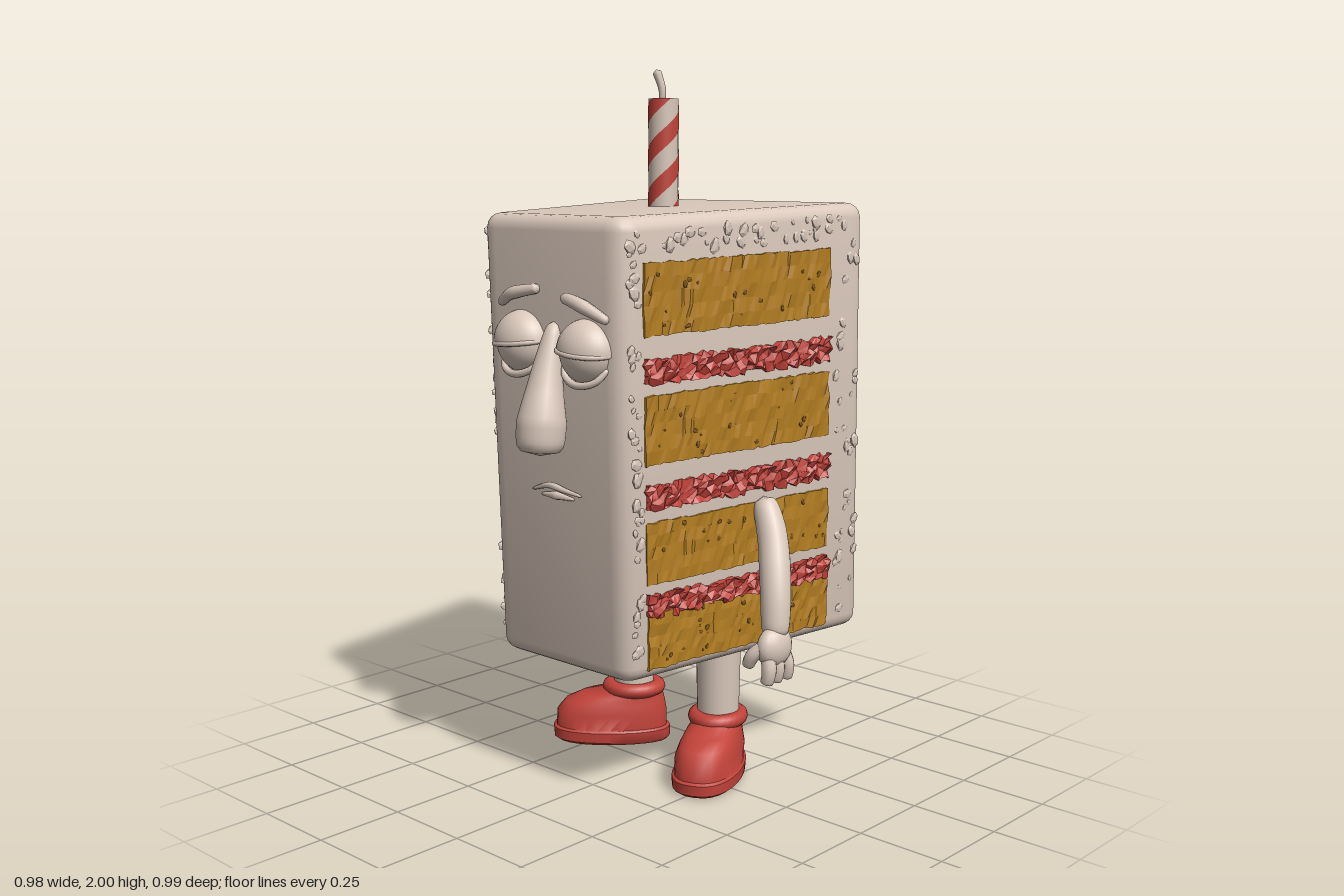
import * as THREE from 'three';
import { mergeVertices, mergeGeometries, toCreasedNormals } from 'three/addons/utils/BufferGeometryUtils.js';

const paint = (name, color) => Object.assign(new THREE.MeshStandardMaterial({ color }), { name });
const V = (x, y, z) => new THREE.Vector3(x, y, z);

// Repeatable noise from a position, -1..1
function noise(x, y, z, k = 0) {
  const s = Math.sin(Math.round(x * 500) * 12.99 + Math.round(y * 500) * 78.23 + Math.round(z * 500) * 37.72 + k * 9.1) * 43758.55;
  return (s - Math.floor(s)) * 2 - 1;
}

function reshape(geo, rule) {
  const p = geo.attributes.position, v = V(0, 0, 0);
  for (let i = 0; i < p.count; i++) {
    rule(v.fromBufferAttribute(p, i), i);
    p.setXYZ(i, v.x, v.y, v.z);
  }
  return geo;
}

function smooth(geo) {
  geo.deleteAttribute('uv');
  geo.deleteAttribute('normal');
  const g = mergeVertices(geo, 1e-5);
  g.computeVertexNormals();
  return g;
}

function facet(geo) {
  const g = geo.index ? geo.toNonIndexed() : geo;
  g.computeVertexNormals();
  return g;
}

// Round-ended tube whose thickness follows a list of radii
function limb(points, radii, sides = 14, n = 28) {
  const curve = new THREE.CatmullRomCurve3(points.map(p => V(...p)));
  const geo = new THREE.TubeGeometry(curve, n, 1, sides);
  return smooth(reshape(geo, (v, i) => {
    const t = Math.floor(i / (sides + 1)) / n;
    const f = t * (radii.length - 1), a = Math.min(Math.floor(f), radii.length - 2);
    const r = THREE.MathUtils.lerp(radii[a], radii[a + 1], f - a);
    const c = curve.getPointAt(t);
    v.sub(c).multiplyScalar(r * Math.sqrt(Math.max(0, 1 - Math.abs(2 * t - 1) ** 14))).add(c);
  }));
}

// Body frame: slice sides slope outwards to the back and narrow downwards
const FRONT = 0.42, HALF = 0.62;
const sideX = (s, z) => {
  const t = (FRONT - z) / (2 * FRONT);
  return s > 0 ? 0.245 + 0.16 * t : -0.285 - 0.165 * t;
};
const taper = v => { v.x *= 1 - 0.04 * (HALF - v.y); };

function sliceGeometry() {
  const c = [[sideX(-1, FRONT), -FRONT], [sideX(1, FRONT), -FRONT], [sideX(1, -FRONT), FRONT], [sideX(-1, -FRONT), FRONT]]
    .map(p => new THREE.Vector2(...p));
  const shape = new THREE.Shape();
  c.forEach((p, i) => {
    const toward = q => p.clone().add(q.clone().sub(p).setLength(0.055));
    const a = toward(c[(i + 3) % 4]), b = toward(c[(i + 1) % 4]);
    if (i) shape.lineTo(a.x, a.y); else shape.moveTo(a.x, a.y);
    shape.quadraticCurveTo(p.x, p.y, b.x, b.y);
  });
  shape.closePath();
  const bevel = 0.04;
  const geo = new THREE.ExtrudeGeometry(shape, {
    depth: 2 * (HALF - bevel), bevelEnabled: true, bevelSize: bevel, bevelOffset: -bevel,
    bevelThickness: bevel, bevelSegments: 4, curveSegments: 5, steps: 1
  });
  geo.rotateX(-Math.PI / 2).translate(0, -(HALF - bevel), 0);
  reshape(geo, taper);
  return toCreasedNormals(geo, 0.7);
}

// One rough-edged layer on side s, y0..y1, standing out from the slice
function layerGeometry(s, y0, y1, out, rough) {
  const geo = new THREE.BoxGeometry(0.05, y1 - y0, 0.63, 1, 5, 44);
  reshape(geo, v => {
    const { x, y, z } = v, outer = x * s > 0 ? 1 : 0;
    v.x += s * (out - 0.025 + outer * rough * noise(x, y, z, s));
    v.y += rough * 0.8 * noise(x, y, z, 3) + (y0 + y1) / 2;
    v.z += rough * 0.5 * noise(x, y, z, 7) + 0.035;
    v.x += sideX(s, v.z);
    taper(v);
  });
  return facet(geo);
}

// Small lumps or pits pressed onto side s
function specks(s, count, place, size, out) {
  const list = [];
  for (let i = 0; i < count; i++) {
    const [y, z] = place(i, noise(i, 1, s), noise(i, 2, s));
    const r = size * (1 + 0.45 * noise(i, 3, s));
    const p = V(sideX(s, z) + s * out, y, z);
    taper(p);
    list.push(new THREE.IcosahedronGeometry(1, 0).scale(r * 0.35, r, r * 1.3).rotateX(i).translate(p.x, p.y, p.z));
  }
  return mergeGeometries(list);
}

// Shoe from stacked oval sections: height, heel z, toe z, half width
function shoeGeometry() {
  const rings = [[0, -0.1, 0.23, 0.08], [0.01, -0.11, 0.245, 0.092], [0.04, -0.11, 0.247, 0.094], [0.046, -0.1, 0.238, 0.088],
    [0.09, -0.1, 0.235, 0.088], [0.12, -0.095, 0.21, 0.08], [0.142, -0.09, 0.16, 0.073], [0.155, -0.085, 0.1, 0.068], [0.18, -0.075, 0.075, 0.066]];
  const n = 28, pos = [], idx = [];
  rings.forEach(([y, z0, z1, w], j) => {
    for (let i = 0; i < n; i++) {
      const a = i / n * Math.PI * 2, c = Math.cos(a), s = Math.sin(a);
      const wide = 1 + 0.12 * c * (1 - y / 0.18);
      pos.push(Math.sign(s) * Math.abs(s) ** 0.8 * w * wide, y, (z0 + z1) / 2 + c * (z1 - z0) / 2);
      if (j) {
        const k = (i + 1) % n, A = (j - 1) * n, B = j * n;
        idx.push(A + i, A + k, B + k, A + i, B + k, B + i);
      }
    }
  });
  const top = (rings.length - 1) * n;
  for (let i = 1; i < n - 1; i++) idx.push(0, i + 1, i, top, top + i, top + i + 1);
  const geo = new THREE.BufferGeometry();
  geo.setAttribute('position', new THREE.Float32BufferAttribute(pos, 3));
  geo.setIndex(idx);
  return toCreasedNormals(geo, 0.8);
}

// Slanted stripe wrapped round the candle, clipped to its height
function stripeGeometry(r, h, start) {
  const geo = new THREE.PlaneGeometry(1, 1, 72, 4);
  reshape(geo, v => {
    const a = start + (v.x + 0.5) * Math.PI * 4;
    const y = (a - start) / (Math.PI * 2) * 0.24 + v.y * 0.055 - 0.06;
    v.set(Math.sin(a) * r, THREE.MathUtils.clamp(y, 0, h), Math.cos(a) * r);
  });
  geo.computeVertexNormals();
  return geo;
}

export function createModel() {
  const model = new THREE.Group();
  const frosting = paint('frosting', 0xdac8bb);
  const sponge = paint('sponge', 0xb57f22);
  const pit = paint('sponge pits', 0x7d5517);
  const red = paint('red', 0xc2433a);
  frosting.side = THREE.DoubleSide;
  const add = (parent, name, geo, mat = frosting) => {
    const m = new THREE.Mesh(geo, mat);
    m.name = name;
    parent.add(m);
    return m;
  };

  // Cake slice, leaning slightly forward
  const cake = new THREE.Group();
  cake.name = 'cakeSlice';
  cake.position.set(0, 1, -0.05);
  cake.rotation.x = 0.03;
  model.add(cake);
  add(cake, 'frostedSlice', sliceGeometry());
  const spongeRows = [[0.31, 0.5], [-0.03, 0.155], [-0.355, -0.185], [-0.59, -0.435]];
  const jamRows = [[0.185, 0.25], [-0.15, -0.085], [-0.445, -0.385]];
  for (const s of [1, -1]) {
    spongeRows.forEach(([a, b]) => add(cake, 'spongeLayer', layerGeometry(s, a, b, 0.005, 0.004), sponge));
    jamRows.forEach(([a, b]) => add(cake, 'jamLayer', layerGeometry(s, a, b, 0.012, 0.011), red));
    add(cake, 'spongePits', specks(s, 70, (i, u, w) => {
      const [a, b] = spongeRows[i % 4];
      return [(a + b) / 2 + u * (b - a) * 0.43, 0.035 + w * 0.3];
    }, 0.006, 0.006), pit);
    // Crumbly frosting round the edge of the cut face
    add(cake, 'frostingCrumbs', specks(s, 110, (i, u, w) =>
      i % 3 === 0 ? [0.555 + w * 0.03, u * 0.37] : [u * 0.57, i % 3 === 1 ? 0.378 + w * 0.015 : -0.35 + w * 0.04], 0.013, 0.001));
  }

  // Candle
  const candle = new THREE.Group();
  candle.name = 'candle';
  candle.position.set(-0.04, 1.6, -0.085);
  model.add(candle);
  add(candle, 'candleStick', new THREE.CylinderGeometry(0.042, 0.042, 0.32, 24).translate(0, 0.16, 0));
  const stripe = red.clone();
  stripe.name = 'candle stripe';
  stripe.side = THREE.DoubleSide;
  for (const a of [0, Math.PI]) add(candle, 'candleStripe', stripeGeometry(0.0435, 0.32, a), stripe);
  add(candle, 'wick', limb([[0.004, 0.31, 0.01], [0.004, 0.345, 0.01], [-0.012, 0.4, 0.018]], [0.009, 0.011, 0.013], 8, 12));

  // Face
  const face = new THREE.Group();
  face.name = 'face';
  model.add(face);
  for (const [x, y, s] of [[-0.13, 1.265, -1], [0.115, 1.255, 1]]) {
    const eye = new THREE.Group();
    eye.name = s > 0 ? 'leftEye' : 'rightEye';
    eye.position.set(x, y, 0.372);
    eye.rotation.z = -s * 0.08;
    face.add(eye);
    add(eye, 'eyeball', new THREE.SphereGeometry(1, 28, 18).scale(0.083, 0.083, 0.068));
    add(eye, 'upperLid', new THREE.SphereGeometry(1, 28, 10, 0, Math.PI * 2, 0, Math.PI / 2).scale(0.091, 0.088, 0.077));
    const arc = (rx, rz, y0, sag) => [-1, -0.5, 0, 0.5, 1].map(t => {
      const a = t * Math.PI / 2;
      return [Math.sin(a) * rx, y0 - Math.cos(a) * sag, Math.cos(a) * rz];
    });
    add(eye, 'lidRim', limb(arc(0.089, 0.075, 0.002, 0.004), [0.007, 0.007], 8));
    add(eye, 'eyeBag', limb(arc(0.08, 0.035, -0.03, 0.055), [0.008, 0.011, 0.008], 8));
  }
  add(face, 'rightBrow', limb([[-0.21, 1.365, 0.385], [-0.15, 1.395, 0.4], [-0.05, 1.415, 0.39]], [0.012, 0.018, 0.014], 10));
  add(face, 'leftBrow', limb([[0.04, 1.395, 0.39], [0.1, 1.385, 0.4], [0.205, 1.34, 0.385]], [0.015, 0.019, 0.012], 10));
  add(face, 'nose', limb([[-0.005, 1.33, 0.375], [-0.005, 1.2, 0.405], [0, 1.08, 0.43], [0, 0.975, 0.44]], [0.02, 0.035, 0.05, 0.068, 0.066], 20));
  add(face, 'upperLip', limb([[-0.105, 0.862, 0.372], [-0.03, 0.882, 0.377], [0.03, 0.875, 0.377], [0.09, 0.866, 0.372]], [0.004, 0.01, 0.004], 8));
  add(face, 'lowerLip', limb([[-0.07, 0.853, 0.37], [0, 0.857, 0.375], [0.06, 0.853, 0.37]], [0.004, 0.012, 0.004], 8));

  // Arms and hands; w is the wrist
  const arms = [
    { s: 1, path: [[0.325, 0.83, -0.1], [0.375, 0.73, -0.08], [0.425, 0.59, -0.035], [0.446, 0.46, -0.01]], w: [0.447, 0.445, -0.005] },
    { s: -1, path: [[-0.375, 0.82, -0.13], [-0.42, 0.72, -0.135], [-0.452, 0.59, -0.125], [-0.458, 0.46, -0.1]], w: [-0.457, 0.445, -0.095] }
  ];
  for (const { s, path, w: [x, y, z] } of arms) {
    const arm = new THREE.Group();
    arm.name = s > 0 ? 'leftArm' : 'rightArm';
    model.add(arm);
    add(arm, 'sleeve', limb(path, [0.036, 0.042, 0.044, 0.042, 0.038], 18));
    add(arm, 'palm', new THREE.SphereGeometry(1, 18, 12).scale(0.038, 0.058, 0.062).translate(x, y, z));
    for (const d of [-0.042, 0, 0.036])
      add(arm, 'finger', limb([[x, y - 0.01, z + d * 0.8], [x + s * 0.012, y - 0.06, z + d], [x + s * 0.004, y - 0.1, z + d * 1.05]], [0.021, 0.021, 0.018], 10, 14));
    add(arm, 'thumb', limb([[x, y + 0.01, z + 0.035], [x - s * 0.03, y - 0.02, z + 0.055], [x - s * 0.05, y - 0.055, z + 0.055]], [0.02, 0.02, 0.017], 10, 14));
  }

  // Legs and shoes
  for (const [x, z, turn, side] of [[0.178, -0.085, 0.42, 'left'], [-0.183, -0.11, -0.85, 'right']]) {
    const leg = new THREE.Group();
    leg.name = side + 'Leg';
    leg.position.set(x, 0, z);
    model.add(leg);
    add(leg, 'shin', new THREE.CylinderGeometry(0.066, 0.06, 0.28, 20).translate(0, 0.3, 0));
    const shoe = new THREE.Group();
    shoe.name = side + 'Shoe';
    shoe.rotation.y = turn;
    leg.add(shoe);
    add(shoe, 'shoeBody', shoeGeometry(), red);
    add(shoe, 'shoeCuff', new THREE.TorusGeometry(0.064, 0.022, 10, 28).rotateX(Math.PI / 2).scale(1, 1, 1.12).translate(0, 0.165, 0), red);
  }
  return model;
}
